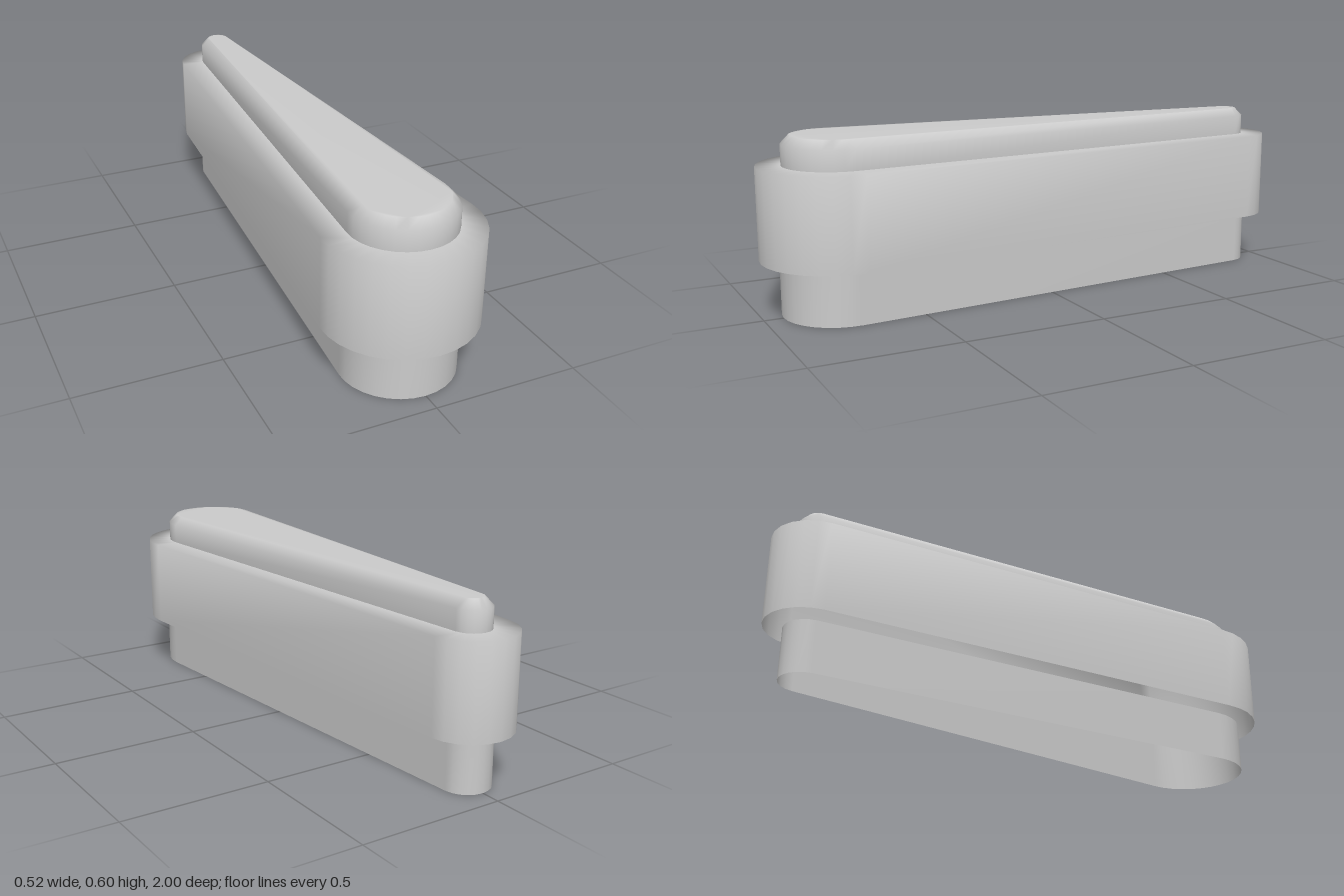
import * as THREE from 'three';

const FRONT_Z = 0.738, FRONT_R = 0.262; // wide front end
const BACK_Z = -0.85, BACK_R = 0.15;    // narrow back end
const FRONT_STEPS = 16, BACK_STEPS = 10;

// Teardrop outline: two arcs joined by their common tangents, shrunk by inset
function teardrop(inset) {
  const tilt = Math.asin((FRONT_R - BACK_R) / (FRONT_Z - BACK_Z));
  const side = Math.PI / 2 + tilt;
  const points = [];
  const arc = (z, r, from, to, steps) => {
    for (let i = 0; i <= steps; i++) {
      const t = from + (to - from) * i / steps;
      points.push(new THREE.Vector2(r * Math.sin(t), z + r * Math.cos(t)));
    }
  };
  arc(FRONT_Z, FRONT_R - inset, -side, side, FRONT_STEPS);
  arc(BACK_Z, BACK_R - inset, side, 2 * Math.PI - side, BACK_STEPS);
  return points;
}

// Smooth skin through [inset, y] loops, open below and optionally closed on top
function loft(name, loops, material, capped = false) {
  const positions = [], index = [];
  let outline;
  for (const [inset, y] of loops) {
    outline = teardrop(inset);
    for (const p of outline) positions.push(p.x, y, p.y);
  }
  const n = outline.length;
  for (let j = 0; j < loops.length - 1; j++) {
    for (let i = 0; i < n; i++) {
      const a = j * n + i, b = j * n + (i + 1) % n;
      index.push(a, b, b + n, a, b + n, a + n);
    }
  }
  if (capped) {
    const base = (loops.length - 1) * n;
    const flat = outline.map(p => new THREE.Vector2(p.x, -p.y));
    for (const face of THREE.ShapeUtils.triangulateShape(flat, [])) {
      index.push(...face.map(i => base + i));
    }
  }
  const geometry = new THREE.BufferGeometry();
  geometry.setAttribute('position', new THREE.Float32BufferAttribute(positions, 3));
  geometry.setIndex(index);
  geometry.computeVertexNormals();
  const mesh = new THREE.Mesh(geometry, material);
  mesh.name = name;
  return mesh;
}

export function createModel() {
  const grey = new THREE.MeshStandardMaterial({ color: 0xcccccc, side: THREE.DoubleSide });
  grey.name = 'light grey';
  const model = new THREE.Group();
  model.name = 'teardropPier';
  model.add(
    // Open-ended foot wall
    loft('foot', [[0.066, 0], [0.066, 0.182]], grey),
    // Main shell with a rim around the raised top
    loft('body', [[0, 0.19], [0, 0.505], [0.084, 0.505]], grey),
    // Raised top with a bevelled edge
    loft('raisedTop', [[0.084, 0.505], [0.084, 0.575], [0.112, 0.604]], grey, true)
  );
  return model;
}
